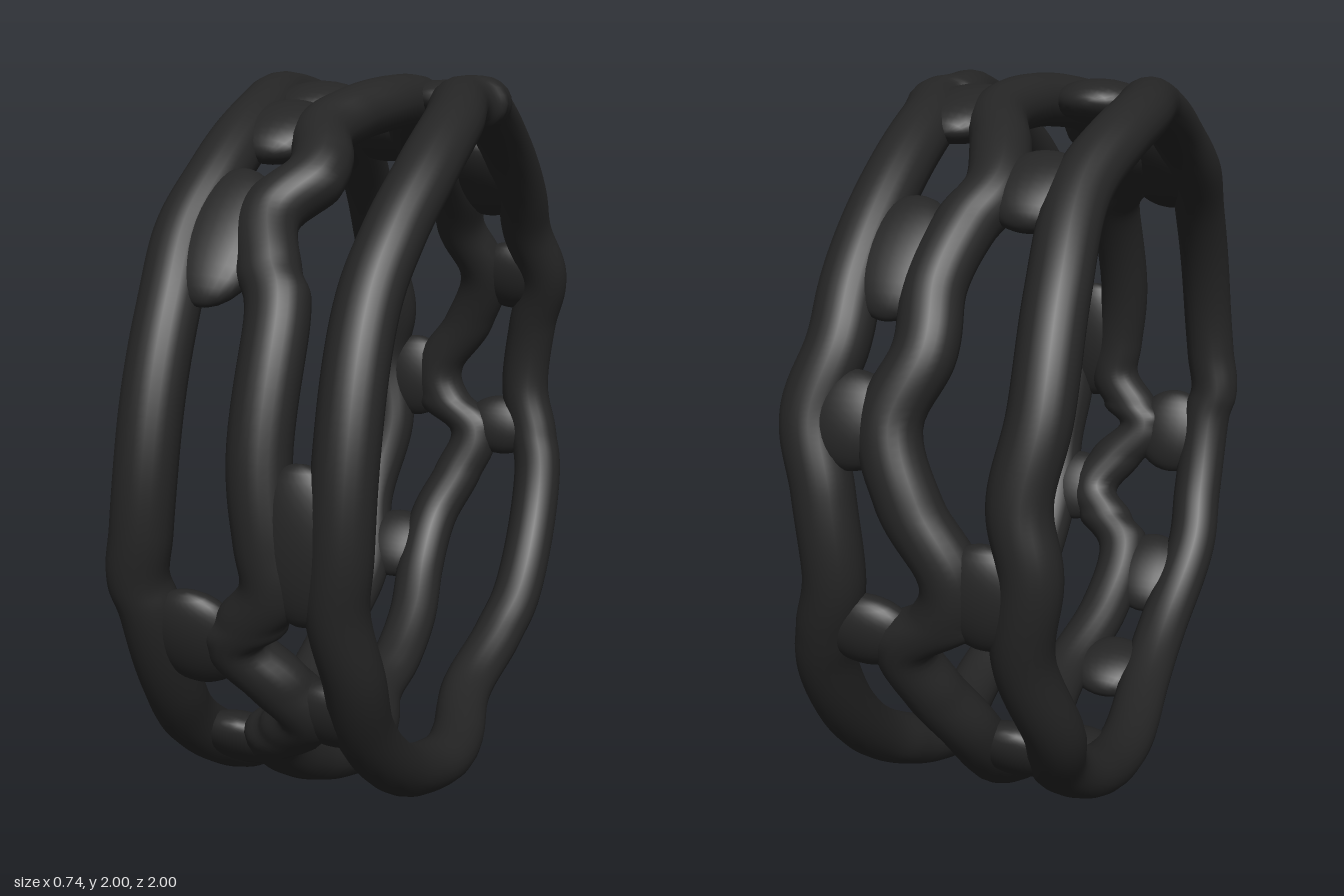
import * as THREE from 'three';

const R = 0.928; // centre-line radius of the ring
const HALF_WIDTH = 0.078, HALF_DEPTH = 0.072;

// Each strand: [angle in degrees (0 = front, 90 = top), sideways position x]
const RIGHT = [
  [0, -0.27], [12, -0.255], [32, -0.25], [45, -0.26], [58, -0.24], [75, -0.24], [84, -0.26],
  [96, -0.29], [107, -0.28], [122, -0.25], [140, -0.27], [157, -0.28], [170, -0.25], [181, -0.28],
  [195, -0.25], [212, -0.29], [228, -0.25], [245, -0.28], [265, -0.28], [285, -0.25], [300, -0.25],
  [318, -0.28], [330, -0.27], [345, -0.27], [352, -0.29],
];
const MIDDLE = [
  [0, 0.05], [12, 0.03], [32, 0.03], [40, -0.02], [49, -0.06], [57, 0.01], [62, 0.01], [70, -0.03],
  [78, 0], [88, 0.05], [100, 0.07], [112, 0], [122, -0.04], [130, 0], [140, 0.03], [150, 0.02],
  [161, 0.08], [172, 0.02], [182, -0.08], [189, -0.06], [196, 0.05], [205, 0.01], [215, -0.05],
  [226, -0.06], [238, -0.04], [250, -0.04], [260, -0.05], [272, 0], [285, 0.01], [301, -0.04],
  [315, -0.05], [322, 0.03], [328, 0.09], [335, 0.03], [342, -0.05], [347, 0], [353, 0.06],
];
const LEFT = [
  [0, 0.235], [15, 0.24], [35, 0.24], [47, 0.26], [60, 0.285], [75, 0.285], [90, 0.24], [96, 0.27],
  [105, 0.24], [120, 0.23], [140, 0.24], [150, 0.24], [161, 0.28], [172, 0.24], [185, 0.22],
  [195, 0.26], [205, 0.29], [228, 0.29], [240, 0.26], [255, 0.22], [270, 0.26], [280, 0.27],
  [292, 0.25], [310, 0.24], [325, 0.23], [338, 0.24], [350, 0.22],
];

// Webbing where neighbouring strands fuse: [angle, x, half length along the ring]
const WEBS = [
  [45, -0.16, 0.2], [70, -0.14, 0.14], [83, -0.12, 0.13], [122, -0.15, 0.13], [185, -0.17, 0.14],
  [222, -0.16, 0.12], [257, -0.16, 0.13], [287, -0.13, 0.12], [311, -0.16, 0.14], [342, -0.16, 0.14],
  [0, 0.14, 0.2], [100, 0.16, 0.17], [136, 0.13, 0.17], [161, 0.18, 0.12], [194, 0.15, 0.1],
  [328, 0.16, 0.12],
];

const onRing = (deg, x, r) => {
  const a = THREE.MathUtils.degToRad(deg);
  return [x, 1 + r * Math.sin(a), r * Math.cos(a)];
};

// Closed strand of elliptical section that weaves sideways around the ring
function strandGeometry(points) {
  const n = points.length, steps = 300, sides = 20;
  const wrapped = [];
  for (let i = -2; i <= n + 2; i++) {
    const [deg, x] = points[(i + n) % n];
    wrapped.push(new THREE.Vector3(deg + 360 * Math.floor(i / n), x, 0));
  }
  const curve = new THREE.CatmullRomCurve3(wrapped, false, 'catmullrom', 0.5);
  const at = (i) => curve.getPoint((2 + (i / steps) * n) / (n + 4));
  const pos = [], index = [];
  for (let i = 0; i < steps; i++) {
    const p = at(i), before = at(i - 1), after = at(i + 1);
    // widen slanted stretches so the strand keeps its thickness
    const slope = (after.y - before.y) / (R * THREE.MathUtils.degToRad(after.x - before.x));
    const w = HALF_WIDTH * Math.min(1.6, Math.hypot(1, slope));
    for (let j = 0; j < sides; j++) {
      const s = (j / sides) * Math.PI * 2;
      pos.push(...onRing(p.x, p.y + w * Math.cos(s), R + HALF_DEPTH * Math.sin(s)));
      const i2 = (i + 1) % steps, j2 = (j + 1) % sides;
      const a = i * sides + j, b = i2 * sides + j, c = i2 * sides + j2, d = i * sides + j2;
      index.push(a, b, d, b, c, d);
    }
  }
  const g = new THREE.BufferGeometry();
  g.setAttribute('position', new THREE.Float32BufferAttribute(pos, 3));
  g.setIndex(index);
  g.computeVertexNormals();
  return g;
}

export function createModel() {
  const group = new THREE.Group();
  group.name = 'wovenRing';
  const black = new THREE.MeshStandardMaterial({ color: 0x252525 });
  black.name = 'matte black';

  // Three woven strands
  const strands = { rightStrand: RIGHT, middleStrand: MIDDLE, leftStrand: LEFT };
  for (const [name, points] of Object.entries(strands)) {
    const mesh = new THREE.Mesh(strandGeometry(points), black);
    mesh.name = name;
    group.add(mesh);
  }

  // Fused webs between strands
  const ball = new THREE.SphereGeometry(1, 24, 16);
  for (const [deg, x, length] of WEBS) {
    const web = new THREE.Mesh(ball, black);
    web.name = 'strandWeb';
    web.position.set(...onRing(deg, x, R));
    web.rotation.x = -THREE.MathUtils.degToRad(deg);
    web.scale.set(0.13, length, 0.062);
    group.add(web);
  }
  return group;
}
